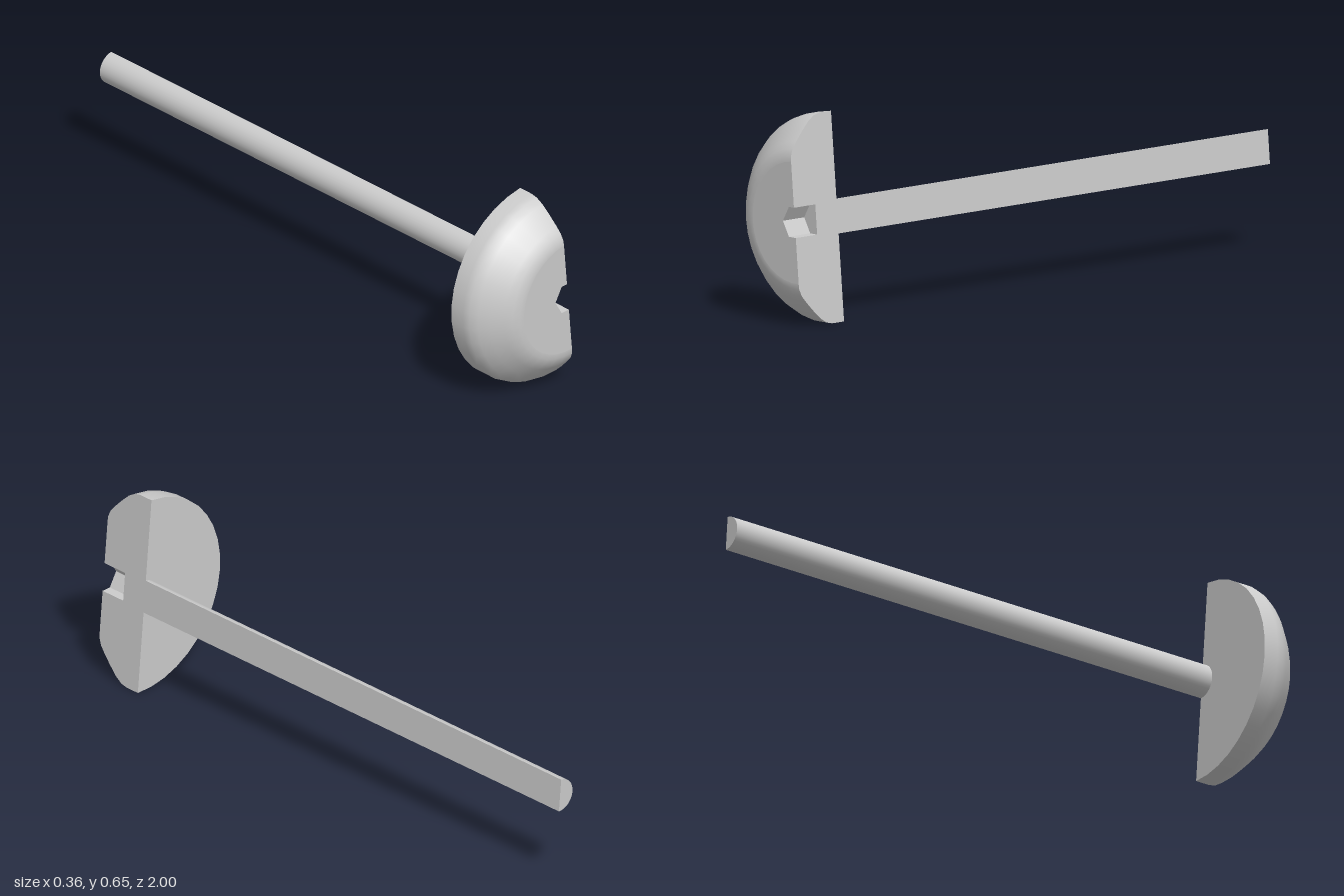
import * as THREE from 'three';

const HEAD_R = 0.327, ROD_R = 0.054, FLAT_R = 0.19, SOCKET_R = 0.054;
const BACK = -1, SHOULDER = 0.82, SOCKET_FLOOR = 0.91, FRONT = 1;
const SEGMENTS = 18, TILT = 0.0904;

// Side profile of the head: [radius, z] from the shoulder to the flat front
const HEAD_PROFILE = [
  [HEAD_R, SHOULDER], [HEAD_R, 0.87], [0.322, 0.893], [0.307, 0.917],
  [0.28, 0.945], [0.25, 0.973], [0.229, 0.99], [0.207, 0.999], [FLAT_R, FRONT],
];

const material = new THREE.MeshStandardMaterial({ color: 0xcccccc });

function addMesh(parent, name, geometry) {
  const mesh = new THREE.Mesh(geometry, material);
  mesh.name = name;
  parent.add(mesh);
  return mesh;
}

const flat = (points) => new THREE.ShapeGeometry(new THREE.Shape(points));

// Points of a half circle on the -x side, top to bottom
function halfCircle(radius) {
  return Array.from({ length: SEGMENTS + 1 }, (_, i) => {
    const a = Math.PI / 2 + (Math.PI * i) / SEGMENTS;
    return new THREE.Vector2(radius * Math.cos(a), radius * Math.sin(a));
  });
}

// Half revolution about z on the -x side
function halfRevolve(profile) {
  const points = profile.map(([r, z]) => new THREE.Vector2(r, z));
  return new THREE.LatheGeometry(points, SEGMENTS, Math.PI, Math.PI).rotateX(Math.PI / 2);
}

// Half disc facing -z
const backDisc = (radius, z) => flat(halfCircle(radius)).rotateX(Math.PI).translate(0, 0, z);

// Inward-facing walls along an open outline
function walls(outline, z0, z1) {
  const positions = [];
  for (let i = 0; i < outline.length - 1; i++) {
    const a = outline[i], b = outline[i + 1];
    positions.push(a.x, a.y, z0, a.x, a.y, z1, b.x, b.y, z1);
    positions.push(a.x, a.y, z0, b.x, b.y, z1, b.x, b.y, z0);
  }
  const geometry = new THREE.BufferGeometry();
  geometry.setAttribute('position', new THREE.Float32BufferAttribute(positions, 3));
  geometry.computeVertexNormals();
  return geometry;
}

export function createModel() {
  const model = new THREE.Group();
  model.name = 'halvedBolt';

  // Everything is built around the bolt axis with the cut at x = 0, then tilted
  const bolt = new THREE.Group();
  bolt.name = 'bolt';
  bolt.position.set(0.148, 0.328, 0);
  bolt.rotation.z = TILT;
  model.add(bolt);

  // Half of a hexagonal socket, its ends on the cut
  const socketY = (SOCKET_R * Math.sin(Math.PI / 3)) / Math.cos(TILT);
  const socket = [new THREE.Vector2(0, socketY)];
  for (const degrees of [120, 180, 240]) {
    const a = THREE.MathUtils.degToRad(degrees) - TILT;
    socket.push(new THREE.Vector2(SOCKET_R * Math.cos(a), SOCKET_R * Math.sin(a)));
  }
  socket.push(new THREE.Vector2(0, -socketY));

  // Head
  const head = new THREE.Group();
  head.name = 'head';
  bolt.add(head);
  addMesh(head, 'headDome', halfRevolve(HEAD_PROFILE));
  addMesh(head, 'headBack', backDisc(HEAD_R, SHOULDER));
  const front = [...halfCircle(FLAT_R), ...[...socket].reverse()];
  addMesh(head, 'headFront', flat(front).translate(0, 0, FRONT));
  addMesh(head, 'socketWalls', walls(socket, SOCKET_FLOOR, FRONT));
  addMesh(head, 'socketFloor', flat(socket).translate(0, 0, SOCKET_FLOOR));

  // Rod
  const rod = new THREE.Group();
  rod.name = 'rod';
  bolt.add(rod);
  addMesh(rod, 'rodSurface', halfRevolve([[ROD_R, BACK], [ROD_R, SHOULDER]]));
  addMesh(rod, 'rodEnd', backDisc(ROD_R, BACK));

  // One flat cut through rod, head and socket: upper half as [y, z], then mirrored
  const upper = [
    [ROD_R, BACK], [ROD_R, SHOULDER], ...HEAD_PROFILE,
    [socketY, FRONT], [socketY, SOCKET_FLOOR],
  ];
  const lower = [...upper].reverse().map(([y, z]) => [-y, z]);
  const section = [...upper, ...lower].map(([y, z]) => new THREE.Vector2(-z, y));
  addMesh(bolt, 'cutFace', flat(section).rotateY(Math.PI / 2));

  return model;
}
